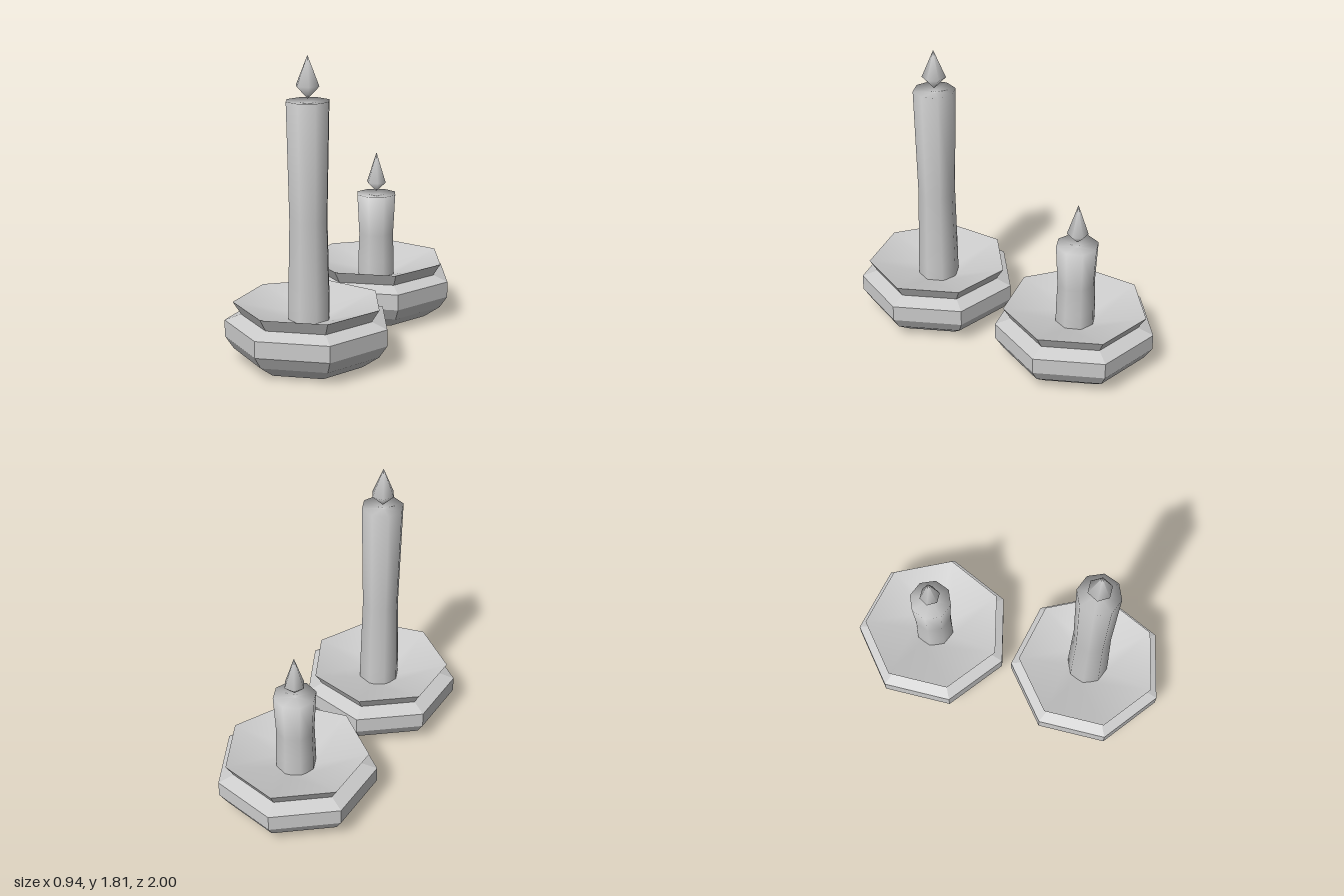
import * as THREE from 'three';

const faceted = new THREE.MeshStandardMaterial({ color: 0xcccccc, flatShading: true });
const smooth = new THREE.MeshStandardMaterial({ color: 0xcccccc });

// Revolved profile of [radius, height] pairs, with a corner on the +x axis
function turned(name, profile, sides, material) {
  const points = profile.map(([r, y]) => new THREE.Vector2(r, y));
  const mesh = new THREE.Mesh(new THREE.LatheGeometry(points, sides, Math.PI / 2), material);
  mesh.name = name;
  return mesh;
}

function createCandle(name, { top, bottomRadius, waistY, waistRadius, flameRadius, flame }) {
  const group = new THREE.Group();
  group.name = name;

  // Seven-sided holder: rounded body, neck and flared rim
  group.add(turned('holder', [
    [0, 0], [0.342, 0], [0.447, 0.075], [0.497, 0.15],
    [0.497, 0.25], [0.4, 0.285], [0.447, 0.36],
  ], 7, faceted));

  // Shallow dish inside the rim
  group.add(turned('dish', [[0.447, 0.36], [0.13, 0.26], [0, 0.23]], 7, smooth));

  // Eight-sided wax stick, narrow at the waist, with a slightly sunken top
  group.add(turned('wax', [
    [bottomRadius, 0.23], [bottomRadius, 0.36], [waistRadius, waistY],
    [0.132, top], [0, top - 0.02],
  ], 8, smooth));

  // Six-sided teardrop flame hovering over the wax
  const [low, wide, tip] = flame;
  group.add(turned('flame', [[0, low], [flameRadius, wide], [0, tip]], 6, smooth));
  return group;
}

export function createModel() {
  const model = new THREE.Group();
  model.name = 'candles';

  const tall = createCandle('tallCandle', {
    top: 1.55, bottomRadius: 0.129, waistY: 0.85, waistRadius: 0.117,
    flameRadius: 0.074, flame: [1.56, 1.635, 1.81],
  });
  tall.position.set(-0.025, 0, 0.515);

  const short = createCandle('shortCandle', {
    top: 0.79, bottomRadius: 0.124, waistY: 0.53, waistRadius: 0.118,
    flameRadius: 0.065, flame: [0.805, 0.865, 1.06],
  });
  short.position.set(-0.025, 0, -0.515);

  model.add(tall, short);
  return model;
}
